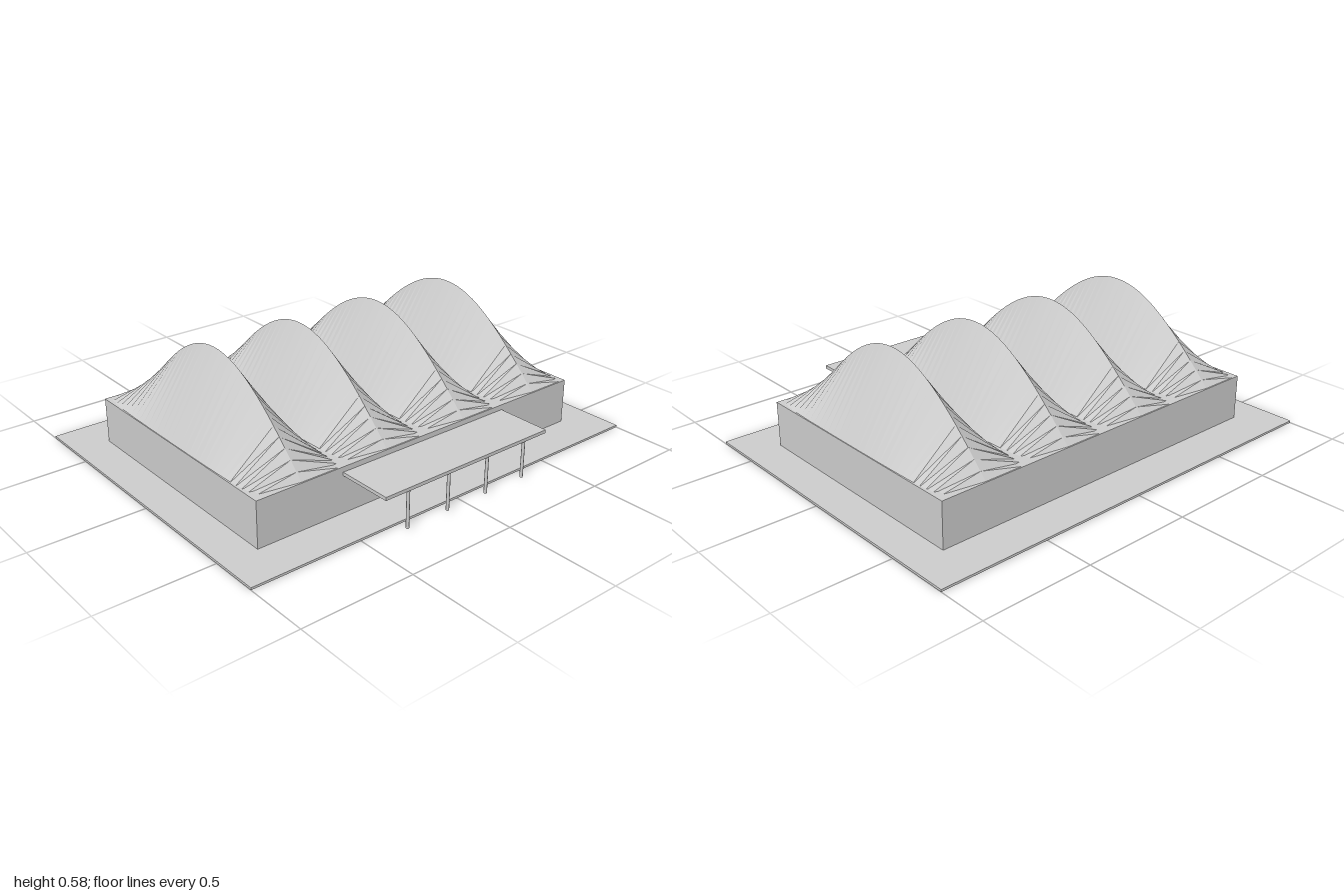
import * as THREE from 'three';

const grey = new THREE.MeshStandardMaterial({ color: 0xcccccc });
grey.name = 'concreteGrey';

// Box given by its lower and upper limits on each axis
function block(name, [x0, x1], [y0, y1], [z0, z1]) {
  const mesh = new THREE.Mesh(new THREE.BoxGeometry(x1 - x0, y1 - y0, z1 - z0), grey);
  mesh.position.set((x0 + x1) / 2, (y0 + y1) / 2, (z0 + z1) / 2);
  mesh.name = name;
  return mesh;
}

// Ridged roof: straight eaves, triangular sections, ridge rising as a cosine arch
function vaultGeometry(halfWidth, halfLength, height, segments) {
  const positions = [];
  const ridge = (z) => height * Math.cos((Math.PI / 2) * (z / halfLength));
  const quad = (a, b, c, d) => positions.push(...a, ...b, ...c, ...a, ...c, ...d);
  for (let i = 0; i < segments; i++) {
    const z0 = -halfLength + (2 * halfLength * i) / segments;
    const z1 = -halfLength + (2 * halfLength * (i + 1)) / segments;
    const top0 = [0, ridge(z0), z0];
    const top1 = [0, ridge(z1), z1];
    quad([-halfWidth, 0, z0], [-halfWidth, 0, z1], top1, top0);
    quad([halfWidth, 0, z1], [halfWidth, 0, z0], top0, top1);
  }
  const geometry = new THREE.BufferGeometry();
  geometry.setAttribute('position', new THREE.Float32BufferAttribute(positions, 3));
  geometry.computeVertexNormals();
  return geometry;
}

export function createModel() {
  const model = new THREE.Group();
  model.name = 'vaultedHall';

  // Ground slab, hall and entrance canopy
  model.add(
    block('groundSlab', [-1, 1], [0, 0.01], [-0.78, 0.715]),
    block('hall', [-0.84, 0.84], [0.01, 0.213], [-0.59, 0.53]),
    block('canopy', [-0.435, 0.435], [0.175, 0.19], [0.53, 0.777])
  );

  // Four roof vaults side by side, eaves sunk slightly into the hall top
  const vault = vaultGeometry(0.21, 0.56, 0.371, 32);
  // Four slim posts under the canopy's front edge
  const post = new THREE.CylinderGeometry(0.007, 0.007, 0.167, 8);
  for (let i = 0; i < 4; i++) {
    const roof = new THREE.Mesh(vault, grey);
    roof.name = `roofVault${i + 1}`;
    roof.position.set(-0.63 + i * 0.42, 0.207, -0.03);
    const column = new THREE.Mesh(post, grey);
    column.name = `canopyPost${i + 1}`;
    column.position.set(-0.315 + i * 0.21, 0.0925, 0.767);
    model.add(roof, column);
  }
  return model;
}
